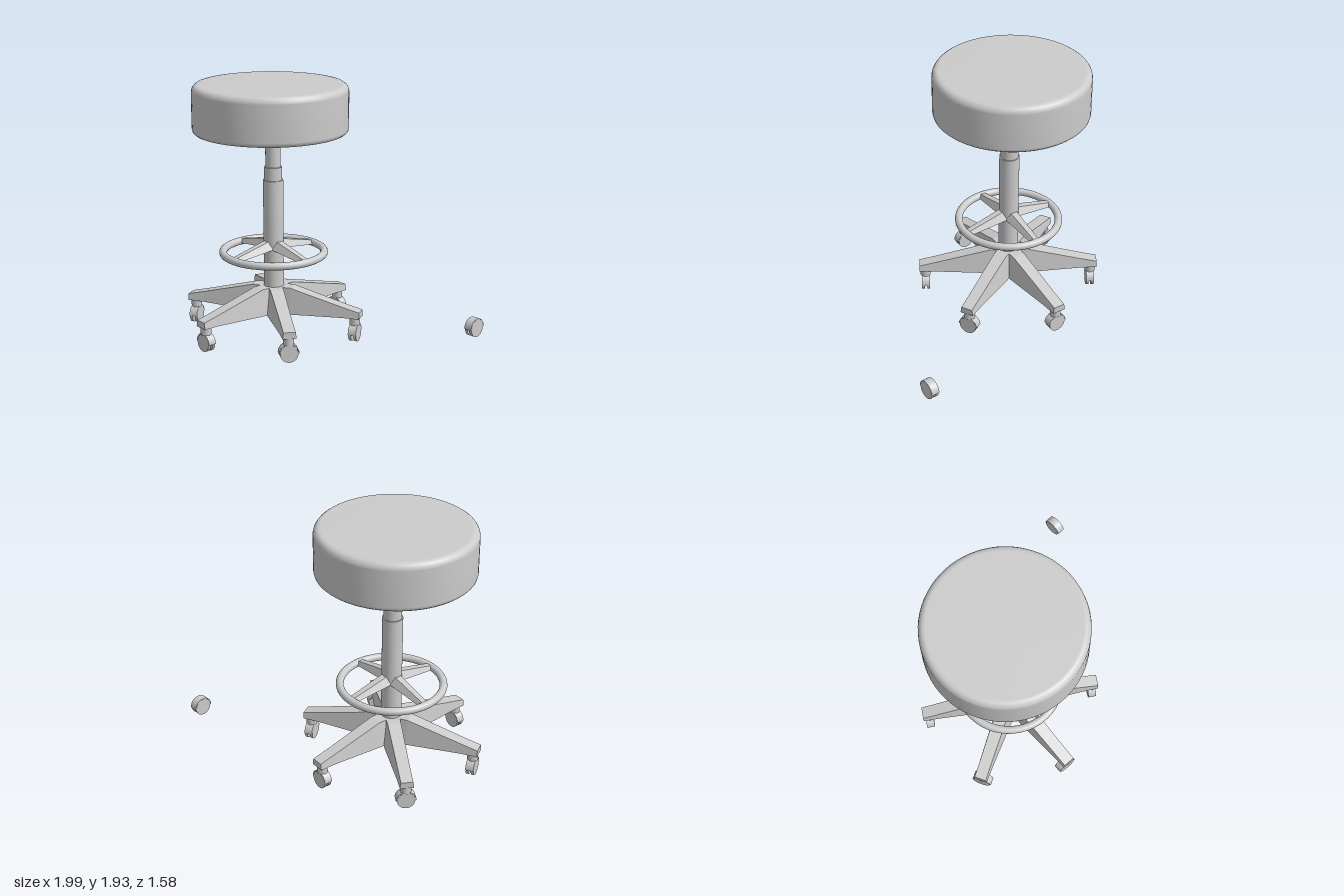
import * as THREE from 'three';

const smooth = new THREE.MeshStandardMaterial({ color: 0xcccccc });
const flat = new THREE.MeshStandardMaterial({ color: 0xcccccc, flatShading: true });

function add(parent, name, geometry, material = smooth, x = 0, y = 0, z = 0) {
  const mesh = new THREE.Mesh(geometry, material);
  mesh.name = name;
  mesh.position.set(x, y, z);
  parent.add(mesh);
  return mesh;
}

// Upright cylinder between two heights
function post(parent, name, radius, y0, y1) {
  return add(parent, name, new THREE.CylinderGeometry(radius, radius, y1 - y0, 32), smooth, 0, (y0 + y1) / 2, 0);
}

// Bar running along +x through trapezoid sections [x, yTop, halfTop, yBottom, halfBottom]
function bar(sections) {
  const rings = sections.map(([x, yt, ht, yb, hb]) => [[x, yb, -hb], [x, yb, hb], [x, yt, ht], [x, yt, -ht]]);
  const pos = [];
  const quad = (a, b, c, d) => pos.push(...a, ...b, ...c, ...a, ...c, ...d);
  for (let i = 0; i < rings.length - 1; i++) {
    const a = rings[i], b = rings[i + 1];
    for (let k = 0; k < 4; k++) {
      const n = (k + 1) % 4;
      quad(a[k], b[k], b[n], a[n]);
    }
  }
  quad(...rings[0]);
  quad(...rings[rings.length - 1].slice().reverse());
  const g = new THREE.BufferGeometry();
  g.setAttribute('position', new THREE.Float32BufferAttribute(pos, 3));
  g.computeVertexNormals();
  return g;
}

// Twin-wheel caster with a half-round hood, axle along x, origin at the axle
function caster() {
  const group = new THREE.Group();
  group.name = 'caster';
  const width = 0.062;
  for (const side of [-1, 1]) {
    add(group, 'wheel', new THREE.CylinderGeometry(0.067, 0.067, 0.021, 28), smooth, side * 0.0205).rotation.z = Math.PI / 2;
  }
  add(group, 'axle', new THREE.CylinderGeometry(0.02, 0.02, 0.04, 16)).rotation.z = Math.PI / 2;
  const arc = new THREE.Shape();
  arc.absarc(0, 0, 0.075, 0, Math.PI, false);
  arc.absarc(0, 0, 0.068, Math.PI, 0, true);
  const hood = new THREE.ExtrudeGeometry(arc, { depth: width, bevelEnabled: false, curveSegments: 20 });
  hood.translate(0, 0, -width / 2).rotateY(Math.PI / 2);
  add(group, 'hood', hood);
  return group;
}

export function createModel() {
  const model = new THREE.Group();
  model.name = 'stool';
  const stool = new THREE.Group();
  stool.name = 'stoolBody';
  stool.position.set(-0.345, 0, 0.087);
  model.add(stool);

  // Cushion with softened rims
  const profile = [
    [0, 1.568], [0.545, 1.568], [0.565, 1.573], [0.578, 1.585], [0.583, 1.605],
    [0.583, 1.88], [0.578, 1.9], [0.567, 1.917], [0.552, 1.928], [0.53, 1.932], [0, 1.932],
  ].map(([x, y]) => new THREE.Vector2(x, y));
  add(stool, 'seat', new THREE.LatheGeometry(profile, 72), smooth, -0.018, 0, 0.005);
  add(stool, 'seatPlate', new THREE.BoxGeometry(0.49, 0.024, 0.49), flat, 0, 1.558, 0);

  // Telescoping column
  post(stool, 'upperTube', 0.057, 1.2, 1.55);
  post(stool, 'collar', 0.067, 1.1, 1.305);
  post(stool, 'lowerTube', 0.076, 0.2, 1.205);
  add(stool, 'hubCap', new THREE.CylinderGeometry(0.076, 0.02, 0.04, 24), smooth, 0, 0.18, 0);

  // Foot ring and its four spokes
  add(stool, 'footRing', new THREE.TorusGeometry(0.384, 0.029, 16, 72), smooth, 0, 0.642, 0).rotation.x = Math.PI / 2;
  const tilt = THREE.MathUtils.degToRad(4);
  const spokeShape = bar([[0.05, 0.74, 0.026, 0.675, 0.06], [0.38, 0.662, 0.02, 0.632, 0.035]]);
  for (let i = 0; i < 4; i++) {
    add(stool, 'ringSpoke', spokeShape, flat).rotation.y = -(tilt + i * Math.PI / 2);
  }

  // Six tapering legs, each with a caster
  const legShape = bar([
    [0, 0.378, 0.055, 0.165, 0.07], [0.15, 0.378, 0.05, 0.175, 0.075],
    [0.57, 0.27, 0.045, 0.19, 0.055], [0.697, 0.24, 0.045, 0.19, 0.052],
  ]);
  for (let i = 0; i < 6; i++) {
    const leg = new THREE.Group();
    leg.name = 'leg';
    leg.rotation.y = -(THREE.MathUtils.degToRad(34) + i * Math.PI / 3);
    add(leg, 'legArm', legShape, flat);
    add(leg, 'casterStem', new THREE.CylinderGeometry(0.04, 0.04, 0.065, 20), smooth, 0.65, 0.164, 0);
    const wheels = caster();
    wheels.position.set(0.65, 0.068, 0);
    leg.add(wheels);
    stool.add(leg);
  }

  // Loose caster lying apart from the stool
  const spare = caster();
  spare.name = 'spareCaster';
  spare.position.set(0.969, 0.163, -0.717);
  model.add(spare);

  return model;
}
